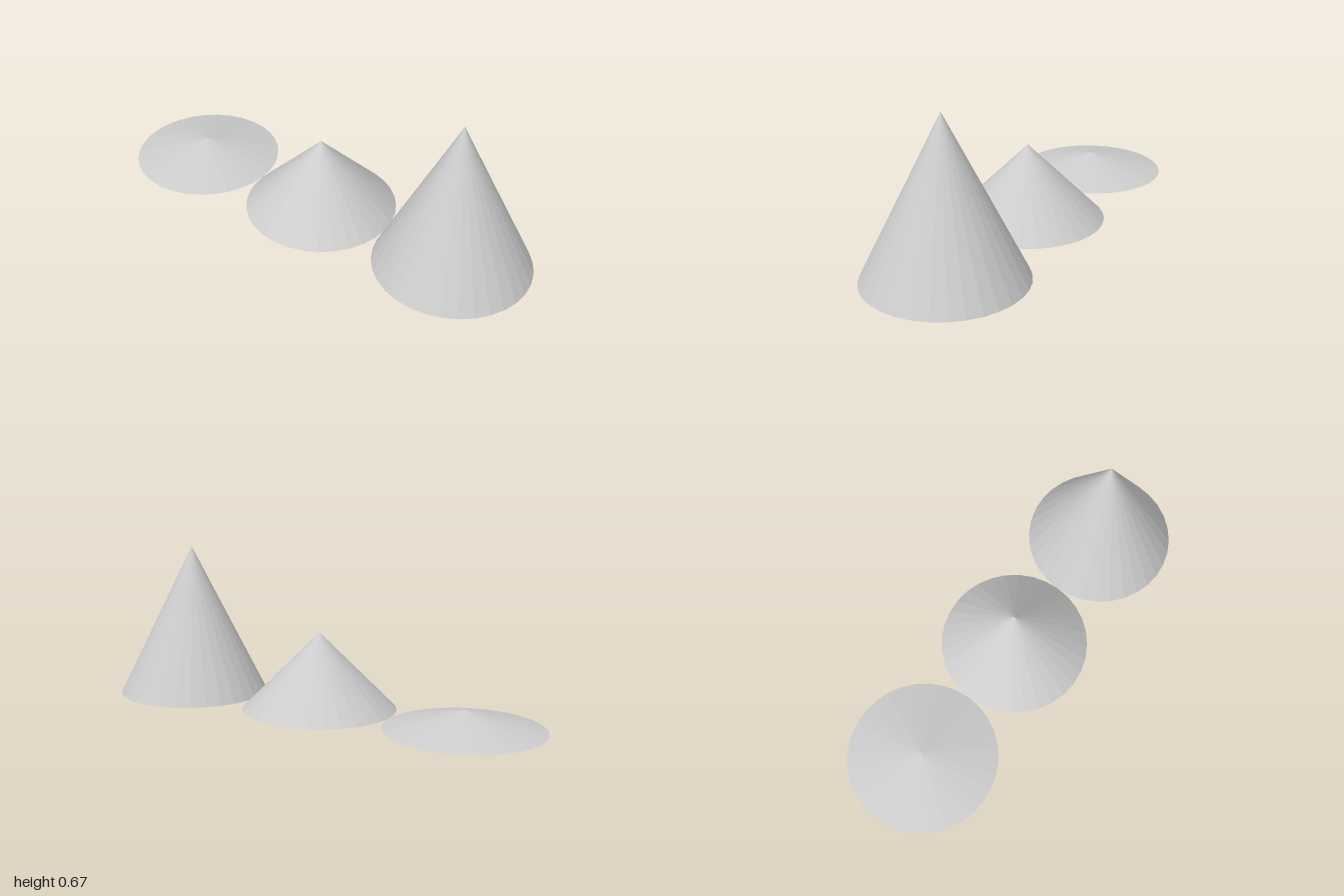
import * as THREE from 'three';

export function createModel() {
  const model = new THREE.Group();
  const grey = new THREE.MeshStandardMaterial({ color: 0xcccccc, flatShading: true });
  grey.name = 'light grey';

  const radius = 1 / 3;
  const sides = 32;

  // Three closed cones in a row, touching at their bases
  const cones = [
    { name: 'lowCone', x: -2 * radius, height: 1 / 12 },
    { name: 'middleCone', x: 0, height: 1 / 3 },
    { name: 'tallCone', x: 2 * radius, height: 2 / 3 },
  ];
  for (const { name, x, height } of cones) {
    const cone = new THREE.Mesh(new THREE.ConeGeometry(radius, height, sides), grey);
    cone.name = name;
    cone.position.set(x, height / 2, 0);
    model.add(cone);
  }
  return model;
}
